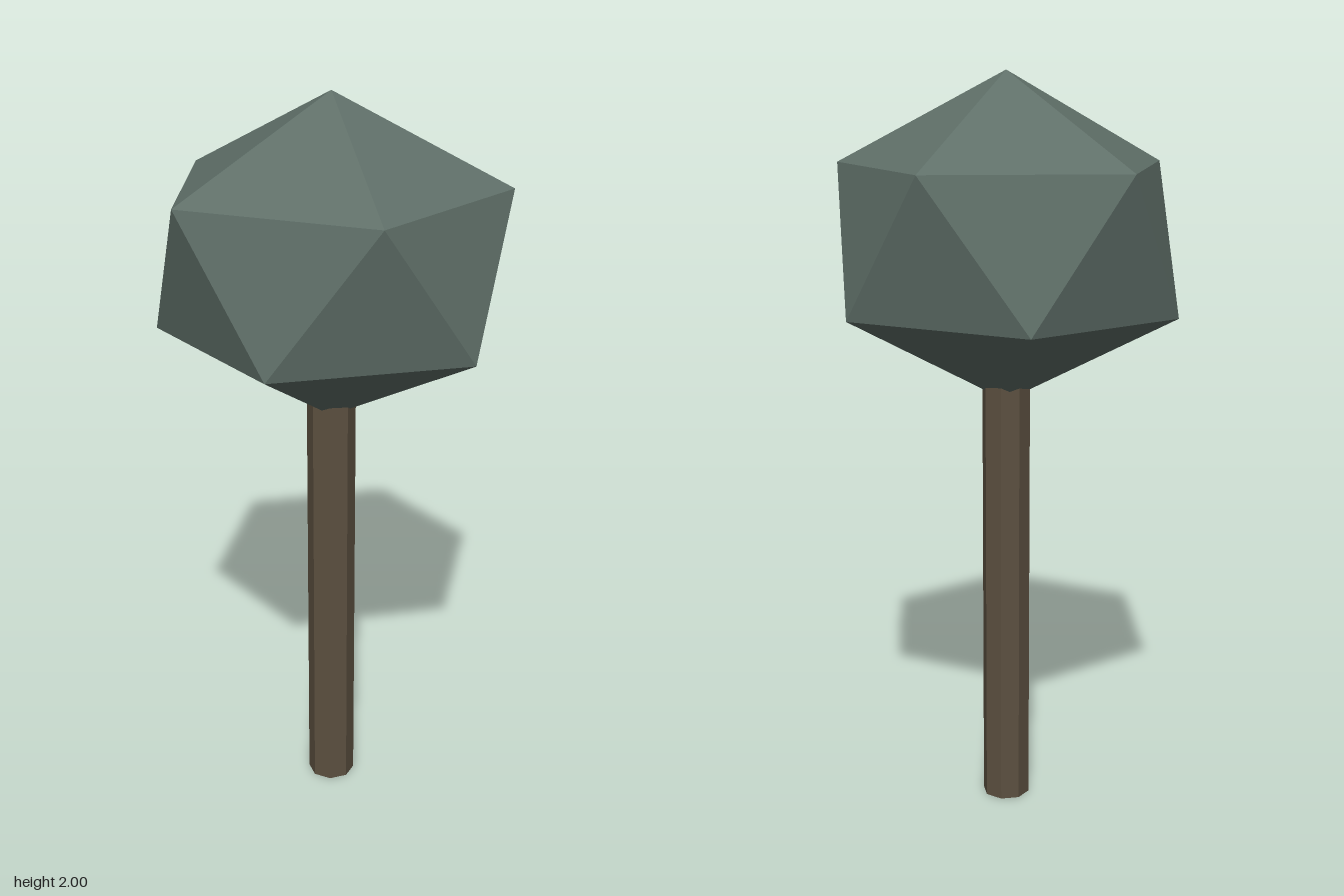
import * as THREE from 'three';

const foliageMaterial = new THREE.MeshStandardMaterial({ color: 0x5f6f68, flatShading: true });
foliageMaterial.name = 'greyGreenFoliage';
const trunkMaterial = new THREE.MeshStandardMaterial({ color: 0x5c5040, flatShading: true });
trunkMaterial.name = 'brownBark';

export function createModel() {
  const tree = new THREE.Group();
  tree.name = 'tree';

  // Straight eight-sided trunk, its top sunk into the crown
  const trunkHeight = 1.26;
  const trunk = new THREE.Mesh(
    new THREE.CylinderGeometry(0.065, 0.065, trunkHeight, 8),
    trunkMaterial
  );
  trunk.name = 'trunk';
  trunk.position.y = trunkHeight / 2;
  tree.add(trunk);

  // Icosahedron crown turned so one corner points up, then squashed in y and z
  const crownGeometry = new THREE.IcosahedronGeometry(0.51, 0);
  crownGeometry.rotateZ(-Math.atan(2 / (1 + Math.sqrt(5))));
  crownGeometry.scale(1, 0.845, 0.845);
  const crown = new THREE.Mesh(crownGeometry, foliageMaterial);
  crown.name = 'crown';
  crown.position.y = 2 - 0.51 * 0.845;
  tree.add(crown);

  return tree;
}
